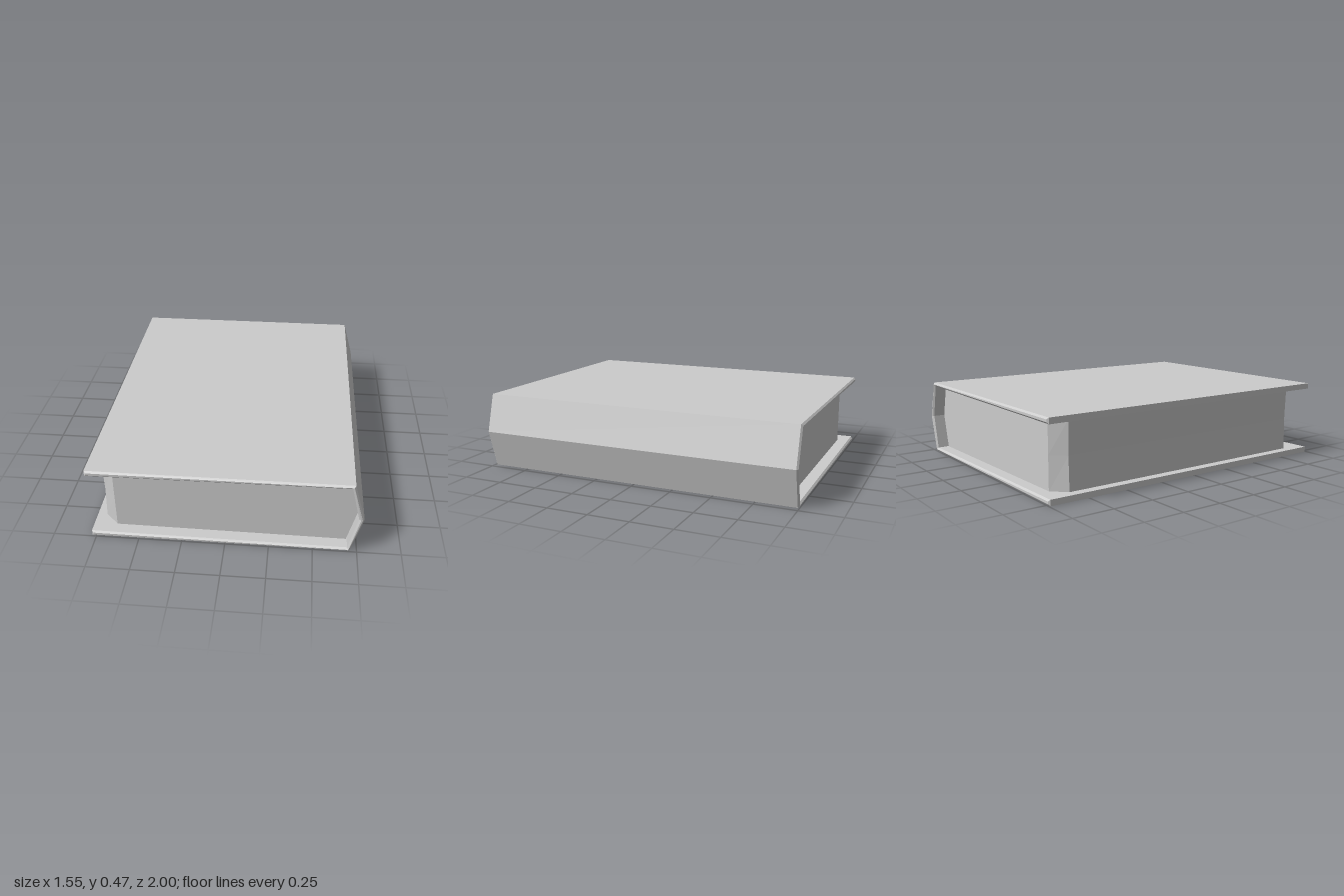
import * as THREE from 'three';

export function createModel() {
  const book = new THREE.Group();
  book.name = 'book';
  const grey = new THREE.MeshStandardMaterial({ color: 0xcccccc });
  grey.name = 'plain grey';

  const add = (name, geometry) => {
    const flat = geometry.index ? geometry.toNonIndexed() : geometry;
    flat.computeVertexNormals();
    const mesh = new THREE.Mesh(flat, grey);
    mesh.name = name;
    book.add(mesh);
  };

  // Cover: two boards joined by a pointed spine, with a small bevel all round
  const mid = 0.2325, bevel = 0.01;
  const profile = [
    [-0.775, 0], [0.71, 0], [0.775, mid], [0.71, 0.465], [-0.775, 0.465],
    [-0.775, 0.43], [0.695, 0.442], [0.745, mid], [0.695, 0.023], [-0.775, 0.035],
  ].map(([x, y]) => new THREE.Vector2(x, y));
  const cover = new THREE.ExtrudeGeometry(new THREE.Shape(profile), {
    depth: 2 - 2 * bevel, bevelEnabled: true, bevelThickness: bevel,
    bevelSize: bevel, bevelOffset: -bevel, bevelSegments: 1,
  });
  cover.translate(0, 0, bevel - 1);
  add('cover', cover);

  // Pages: a block with clipped fore-edge corners, narrowing into the spine
  const columns = [ // x, half depth, half height
    [-0.72, 0.84, 0.198], [-0.64, 0.92, 0.199], [0.69, 0.92, 0.21], [0.743, 0.92, 0.005],
  ];
  const pages = new THREE.BoxGeometry(1, 1, 1, 3, 2, 1);
  const p = pages.attributes.position;
  for (let i = 0; i < p.count; i++) {
    const c = Math.round((p.getX(i) + 0.5) * 3);
    const [x, halfDepth, halfHeight] = columns[c];
    const hollow = c === 0 && Math.abs(p.getY(i)) < 0.1 ? 0.006 : 0;
    p.setXYZ(i, x + hollow, mid + p.getY(i) * 2 * halfHeight, p.getZ(i) * 2 * halfDepth);
  }
  add('pages', pages);

  return book;
}
